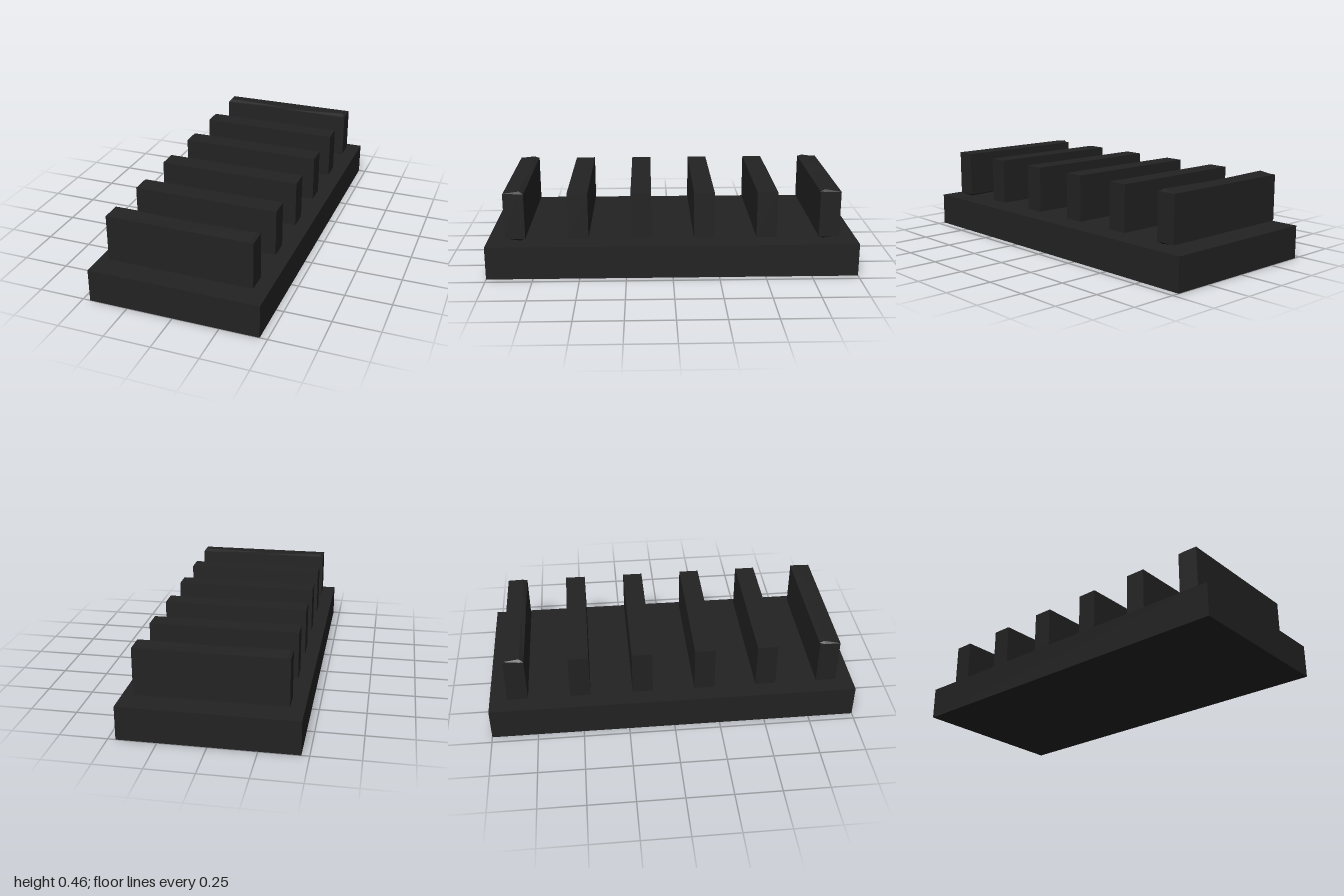
import * as THREE from 'three';

const HALF = 0.39; // half length of a bar

// Plain bar; end bars swell along a ridge close to their inner face.
function barGeometry(ridged) {
  if (!ridged) return new THREE.BoxGeometry(2 * HALF, 0.25, 0.11);
  const geometry = new THREE.BoxGeometry(2 * HALF, 0.25, 0.11, 4, 1, 2);
  const p = geometry.attributes.position;
  for (let i = 0; i < p.count; i++) {
    const ax = Math.abs(p.getX(i));
    // push the middle columns out to the ends to form a small corner bevel
    if (ax > 0.1 && ax < 0.3) p.setX(i, Math.sign(p.getX(i)) * 0.376);
    if (Math.abs(p.getZ(i)) < 0.01) {
      p.setZ(i, -0.031);
      const rise = ax < 0.1 ? 0.005 : ax < 0.3 ? 0.012 : 0;
      p.setY(i, p.getY(i) + Math.sign(p.getY(i)) * rise);
    }
  }
  const flat = geometry.toNonIndexed();
  flat.computeVertexNormals();
  return flat;
}

export function createModel() {
  const group = new THREE.Group();
  const black = new THREE.MeshStandardMaterial({ color: 0x222222 });
  black.name = 'black';

  // Base slab
  const base = new THREE.Mesh(new THREE.BoxGeometry(0.92, 0.18, 2), black);
  base.name = 'base';
  base.position.y = 0.09;
  group.add(base);

  // Row of six cross bars held just above the slab
  for (let i = 0; i < 6; i++) {
    const isEnd = i === 0 || i === 5;
    const bar = new THREE.Mesh(barGeometry(isEnd), black);
    bar.name = isEnd ? 'endBar' : 'crossBar';
    bar.position.set(0, 0.327, (i - 2.5) * 0.338);
    if (i === 0) bar.rotation.y = Math.PI; // ridge faces the middle
    group.add(bar);
  }
  return group;
}
